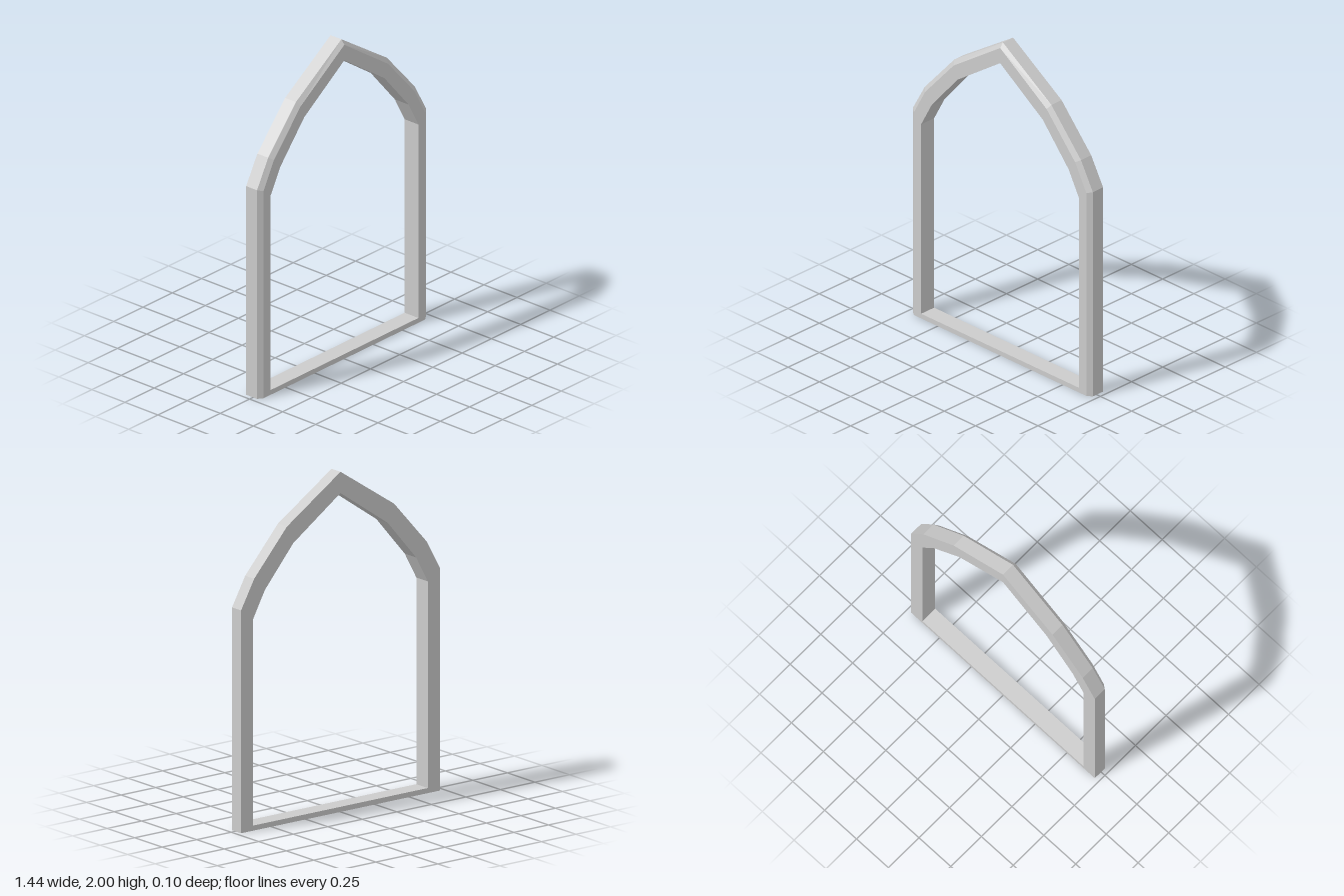
import * as THREE from 'three';

const BACK = -0.052, SHOULDER = 0.03, FRONT = 0.052;

// Right half from the foot up to the apex: outer edge, chamfer edge, inner edge (x, y each)
const half = [
  [[0.72, 0], [0.69, 0], [0.632, 0.03]],
  [[0.72, 1.31], [0.69, 1.3], [0.632, 1.245]],
  [[0.625, 1.48], [0.6, 1.465], [0.548, 1.4]],
  [[0.388, 1.745], [0.372, 1.72], [0.342, 1.64]],
  [[0, 2], [0, 1.972], [0, 1.875]],
];

// Cross-section of the moulding at one corner of the arch
function section([outer, chamfer, inner]) {
  return [
    [...outer, BACK], [...outer, SHOULDER], [...chamfer, FRONT],
    [...inner, FRONT], [...inner, BACK],
  ];
}

// Skin closed sections around a closed path, one flat quad per side
function skin(rings) {
  const pos = [];
  rings.forEach((ring, i) => {
    const next = rings[(i + 1) % rings.length];
    ring.forEach((a, j) => {
      const k = (j + 1) % ring.length;
      const b = next[j], c = next[k], d = ring[k];
      pos.push(...a, ...b, ...c, ...a, ...c, ...d);
    });
  });
  const geo = new THREE.BufferGeometry();
  geo.setAttribute('position', new THREE.Float32BufferAttribute(pos, 3));
  geo.computeVertexNormals();
  return geo;
}

export function createModel() {
  const group = new THREE.Group();
  group.name = 'archedWindowFrame';

  // Mirror the half arch; the closing span between the feet forms the sill
  const mirrored = half.slice(0, -1).reverse()
    .map((station) => station.map(([x, y]) => [-x, y]));
  const rings = [...half, ...mirrored].map(section);

  const frame = new THREE.Mesh(
    skin(rings),
    new THREE.MeshStandardMaterial({ color: 0xcccccc, flatShading: true }),
  );
  frame.name = 'frame';
  group.add(frame);
  return group;
}
